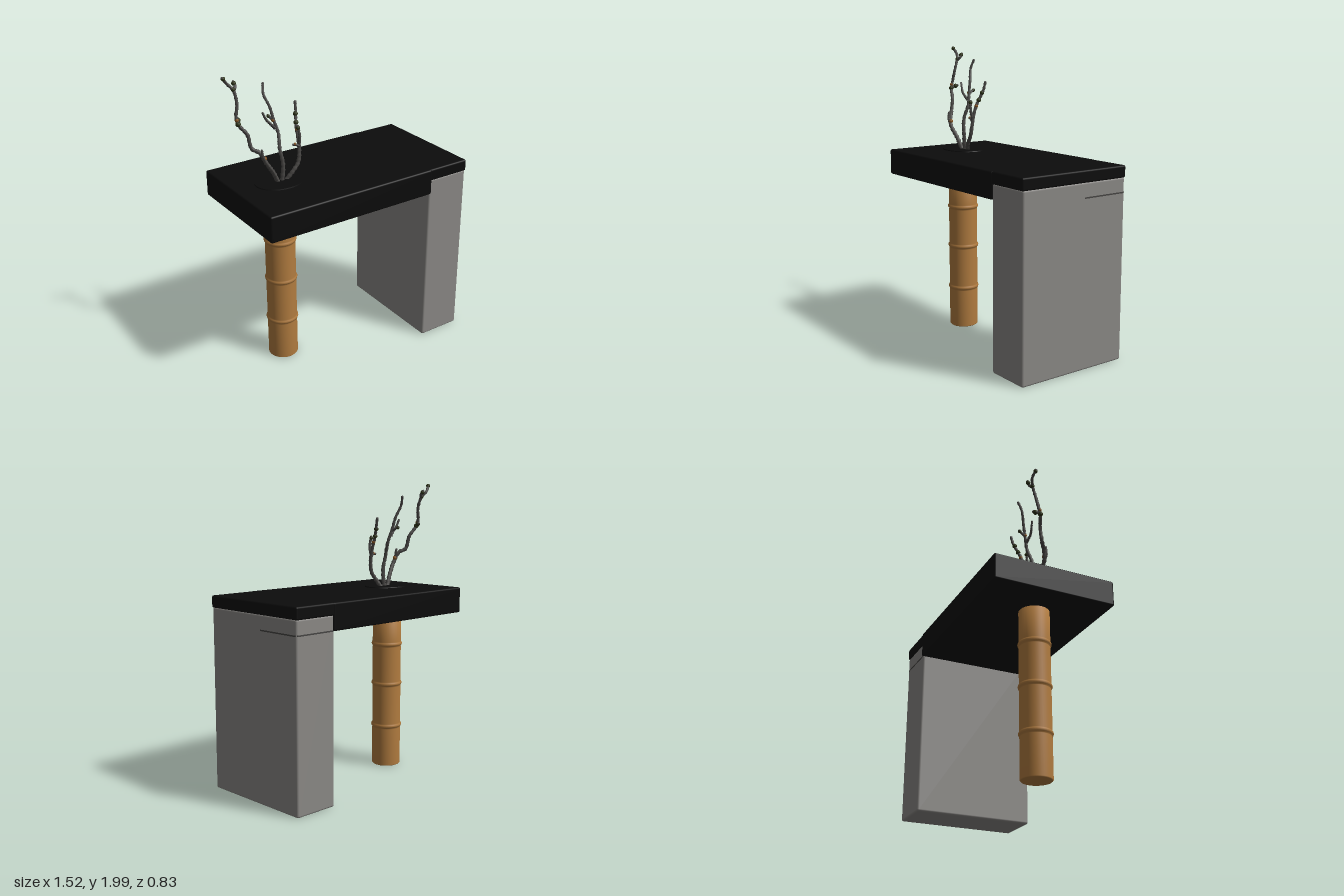
import * as THREE from 'three';
import { RoundedBoxGeometry } from 'three/addons/geometries/RoundedBoxGeometry.js';

const mat = (name, color) => {
  const m = new THREE.MeshStandardMaterial({ color });
  m.name = name;
  return m;
};

export function createModel() {
  const root = new THREE.Group();
  const black = mat('black lacquer', 0x0c0c0c);
  const stone = mat('grey stone', 0x8a8885);
  const groove = mat('groove shadow grey', 0x464543);
  const bamboo = mat('bamboo', 0xb07b3f);
  const bark = mat('grey bark', 0x4a4846);
  const moss = mat('moss green', 0x2c3216);
  const rust = mat('rusty bark', 0x80501f);

  const add = (name, geo, m, x = 0, y = 0, z = 0, parent = root) => {
    const mesh = new THREE.Mesh(geo, m);
    mesh.name = name;
    mesh.position.set(x, y, z);
    parent.add(mesh);
    return mesh;
  };
  // rounded box given by its limits
  const block = (name, m, [x0, x1], [y0, y1], [z0, z1], r) =>
    add(name, new RoundedBoxGeometry(x1 - x0, y1 - y0, z1 - z0, 3, r), m,
      (x0 + x1) / 2, (y0 + y1) / 2, (z0 + z1) / 2);

  // stepped table top: thick over the span, thin over the stone leg
  block('tableTop', black, [-0.76, 0.462], [1.11, 1.285], [-0.416, 0.416], 0.012);
  block('tableTopLip', black, [0.3, 0.76], [1.205, 1.285], [-0.411, 0.411], 0.012);

  // stone slab leg with a short groove round its back corner
  block('stoneLeg', stone, [0.45, 0.757], [0, 1.21], [-0.405, 0.405], 0.014);
  add('sideGroove', new THREE.BoxGeometry(0.003, 0.009, 0.325), groove, 0.757, 1.112, -0.235);
  add('backGroove', new THREE.BoxGeometry(0.29, 0.009, 0.003), groove, 0.605, 1.112, -0.405);

  // bamboo leg: one turned profile with a raised ring at every node
  const profile = [[0, 0], [0.094, 0], [0.1, 0.006]];
  for (const y of [0.29, 0.595, 0.88]) {
    profile.push([0.1, y - 0.022], [0.097, y - 0.016], [0.105, y - 0.01],
      [0.108, y], [0.105, y + 0.009], [0.1, y + 0.016]);
  }
  profile.push([0.1, 1.115], [0, 1.115]);
  add('bambooLeg', new THREE.LatheGeometry(profile.map(p => new THREE.Vector2(...p)), 40),
    bamboo, -0.46, 0, 0);

  // shallow planting disc
  add('plantingDisc', new THREE.CylinderGeometry(0.165, 0.168, 0.008, 40), black, -0.45, 1.287, 0)
    .scale.z = 0.79;

  // tapered, slightly knobbly branch along a curve
  const branches = new THREE.Group();
  branches.name = 'branches';
  root.add(branches);
  const branch = (name, pts, r0, r1) => {
    const curve = new THREE.CatmullRomCurve3(pts.map(p => new THREE.Vector3(...p)));
    const n = pts.length * 6, sides = 8;
    const geo = new THREE.TubeGeometry(curve, n, 1, sides);
    const pos = geo.attributes.position, v = new THREE.Vector3();
    for (let i = 0; i <= n; i++) {
      const c = curve.getPointAt(i / n);
      const r = (r0 + (r1 - r0) * i / n) * (1 + 0.15 * Math.sin(i * 2.3));
      for (let j = 0; j <= sides; j++) {
        const k = i * (sides + 1) + j;
        v.fromBufferAttribute(pos, k).sub(c).multiplyScalar(r).add(c);
        pos.setXYZ(k, v.x, v.y, v.z);
      }
    }
    geo.computeVertexNormals();
    add(name, geo, bark, 0, 0, 0, branches);
    add(name + 'Tip', new THREE.SphereGeometry(r1 * 1.1, 8, 6), bark, ...pts.at(-1), branches);
  };

  branch('tallBranch', [[-0.46, 1.28, 0], [-0.5, 1.36, 0.015], [-0.56, 1.45, 0.03], [-0.59, 1.515, 0.01],
    [-0.627, 1.54, -0.02], [-0.643, 1.63, -0.04], [-0.685, 1.69, -0.06], [-0.695, 1.74, -0.075],
    [-0.68, 1.82, -0.085], [-0.685, 1.9, -0.11], [-0.715, 1.94, -0.13], [-0.75, 1.985, -0.12]], 0.015, 0.009);
  branch('tallBranchFork', [[-0.685, 1.9, -0.11], [-0.665, 1.92, -0.125], [-0.668, 1.945, -0.14]], 0.011, 0.008);
  branch('tallBranchFrontTwig', [[-0.56, 1.45, 0.03], [-0.58, 1.49, 0.035], [-0.585, 1.535, 0.03]], 0.011, 0.007);
  branch('tallBranchKnot', [[-0.69, 1.7, -0.06], [-0.68, 1.715, -0.085], [-0.67, 1.72, -0.1]], 0.011, 0.009);

  branch('middleBranch', [[-0.43, 1.28, 0], [-0.426, 1.4, 0.01], [-0.44, 1.5, 0.0], [-0.43, 1.595, -0.03],
    [-0.447, 1.675, -0.05], [-0.463, 1.765, -0.07], [-0.49, 1.845, -0.095], [-0.48, 1.905, -0.115]], 0.014, 0.008);
  branch('middleBranchTwig', [[-0.447, 1.63, -0.04], [-0.49, 1.675, -0.03], [-0.51, 1.7, -0.035], [-0.53, 1.745, -0.04]], 0.01, 0.007);
  branch('middleBranchBackTwig', [[-0.45, 1.675, -0.05], [-0.455, 1.69, -0.08], [-0.46, 1.7, -0.1]], 0.01, 0.007);

  branch('shortBranch', [[-0.4, 1.28, 0], [-0.36, 1.34, 0.02], [-0.325, 1.39, 0.025], [-0.31, 1.47, 0.02],
    [-0.308, 1.565, 0.0], [-0.303, 1.63, -0.025], [-0.285, 1.7, -0.055], [-0.278, 1.76, -0.07]], 0.014, 0.009);
  branch('shortBranchTwig', [[-0.312, 1.5, 0.02], [-0.33, 1.512, 0.02], [-0.35, 1.515, 0.015]], 0.009, 0.007);
  branch('shortBranchFrontTwig', [[-0.31, 1.5, 0.015], [-0.312, 1.57, 0.03], [-0.32, 1.635, 0.025]], 0.011, 0.008);

  // small clumps of moss and rusty bark
  const clump = (name, m, list) => list.forEach(([x, y, z, r]) =>
    add(name, new THREE.IcosahedronGeometry(r, 1), m, x, y, z, branches));
  clump('moss', moss, [[-0.745, 1.98, -0.12, 0.014], [-0.668, 1.935, -0.135, 0.015], [-0.685, 1.905, -0.113, 0.014],
    [-0.675, 1.715, -0.09, 0.016], [-0.69, 1.7, -0.062, 0.017], [-0.32, 1.625, 0.025, 0.014],
    [-0.3, 1.64, -0.03, 0.016], [-0.29, 1.69, -0.05, 0.016], [-0.46, 1.695, -0.095, 0.012]]);
  clump('rustyBark', rust, [[-0.565, 1.475, 0.026, 0.015], [-0.695, 1.725, -0.068, 0.013],
    [-0.34, 1.518, 0.018, 0.009], [-0.452, 1.68, -0.052, 0.012], [-0.305, 1.6, -0.012, 0.013]]);

  return root;
}
